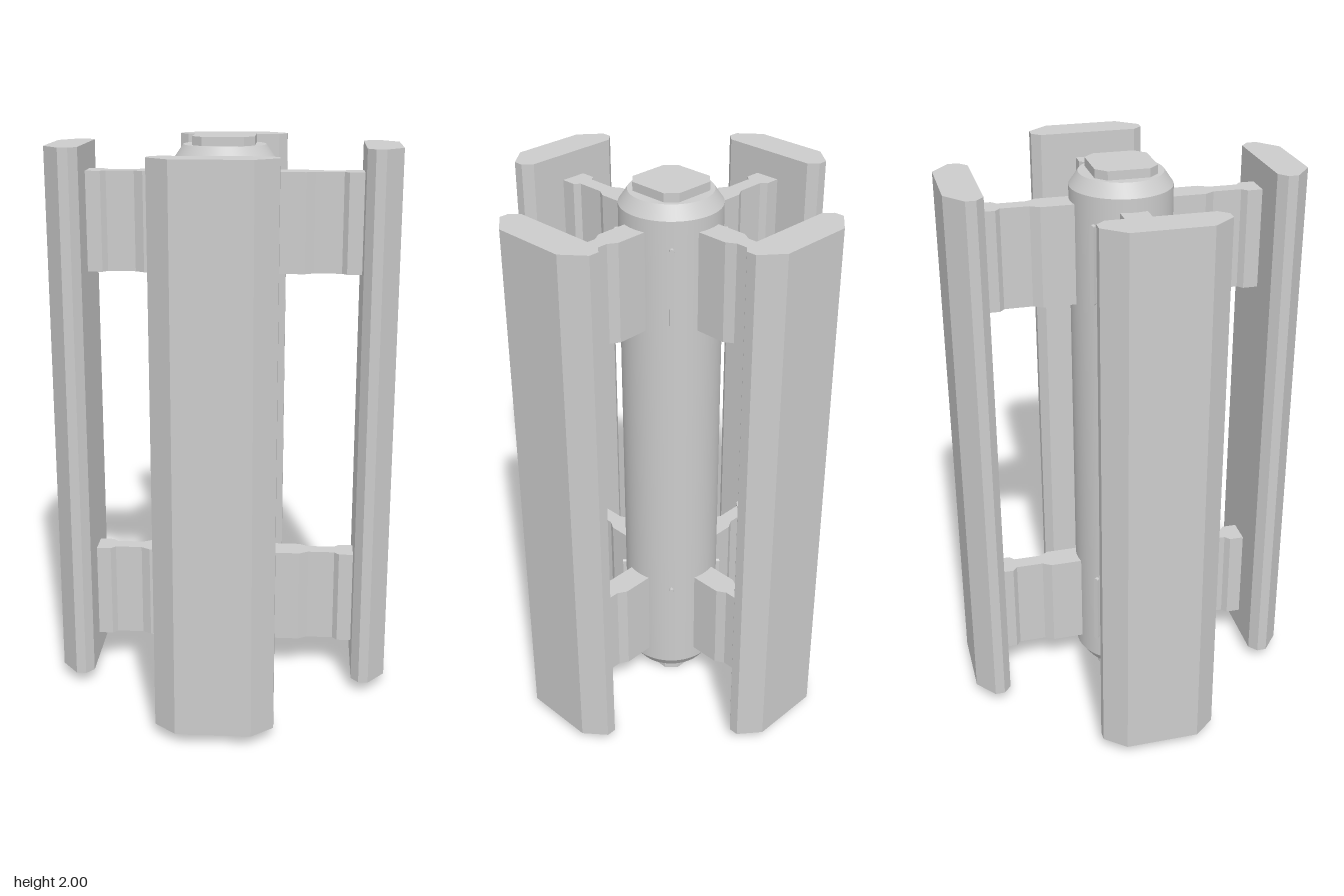
import * as THREE from 'three';
import { toCreasedNormals } from 'three/addons/utils/BufferGeometryUtils.js';

const grey = new THREE.MeshStandardMaterial({ color: 0xcccccc });

function addMesh(parent, name, geometry) {
  const mesh = new THREE.Mesh(geometry, grey);
  mesh.name = name;
  parent.add(mesh);
  return mesh;
}

// Upright prism from half an outline [radial, half width], mirrored across the radial axis
function prism(half, y0, y1) {
  const other = half.map(([u, v]) => [u, -v]).reverse();
  const shape = new THREE.Shape([...half, ...other].map(([u, v]) => new THREE.Vector2(u, v)));
  const geometry = new THREE.ExtrudeGeometry(shape, { depth: y1 - y0, bevelEnabled: false });
  return geometry.rotateX(-Math.PI / 2).translate(0, y0, 0);
}

// Thin upright slot shape with rounded ends, sticking out along +z
function keyGeometry(y0, y1) {
  const r = 0.008;
  const shape = new THREE.Shape();
  shape.absarc(0, y1 - r, r, 0, Math.PI, false);
  shape.absarc(0, y0 + r, r, Math.PI, Math.PI * 2, false);
  shape.closePath();
  return new THREE.ExtrudeGeometry(shape, { depth: 0.037, bevelEnabled: false, curveSegments: 6 })
    .translate(0, 0, 0.15);
}

export function createModel() {
  const model = new THREE.Group();
  model.name = 'fourPanelColumn';

  // Central cylinder with chamfered rims
  const profile = [[0, 0.035], [0.143, 0.035], [0.174, 0.08], [0.174, 1.925], [0.143, 1.97], [0, 1.97]]
    .map(([x, y]) => new THREE.Vector2(x, y));
  addMesh(model, 'coreCylinder', toCreasedNormals(new THREE.LatheGeometry(profile, 64), 0.5));

  // Diamond end caps with cut corners
  const cap = [[0.125, 0.025], [0.025, 0.125], [-0.025, 0.125], [-0.125, 0.025]];
  addMesh(model, 'bottomCap', prism(cap, 0, 0.05));
  addMesh(model, 'topCap', prism(cap, 1.95, 2));

  const panel = [[0.603, 0.13], [0.542, 0.204], [0.507, 0.204], [0.48, 0.173]];
  const arm = [[0.485, 0.046], [0.428, 0.046], [0.411, 0.027], [0.313, 0.027], [0.281, 0.046], [0.12, 0.046]];

  for (let i = 0; i < 4; i++) {
    // Diagonal wing: a tall panel on two arms
    const wing = new THREE.Group();
    wing.name = 'wing' + (i + 1);
    wing.rotation.y = Math.PI / 4 + i * Math.PI / 2;
    addMesh(wing, 'panel', prism(panel, 0.04, 1.97));
    addMesh(wing, 'lowerArm', prism(arm, 0.13, 0.48));
    addMesh(wing, 'upperArm', prism(arm, 1.53, 1.88));
    model.add(wing);

    // Narrow raised keys on the cylinder between the wings
    const keys = new THREE.Group();
    keys.name = 'keys' + (i + 1);
    keys.rotation.y = i * Math.PI / 2;
    addMesh(keys, 'lowerKey', keyGeometry(0.17, 0.45));
    addMesh(keys, 'upperKey', keyGeometry(1.555, 1.835));
    model.add(keys);
  }
  return model;
}
